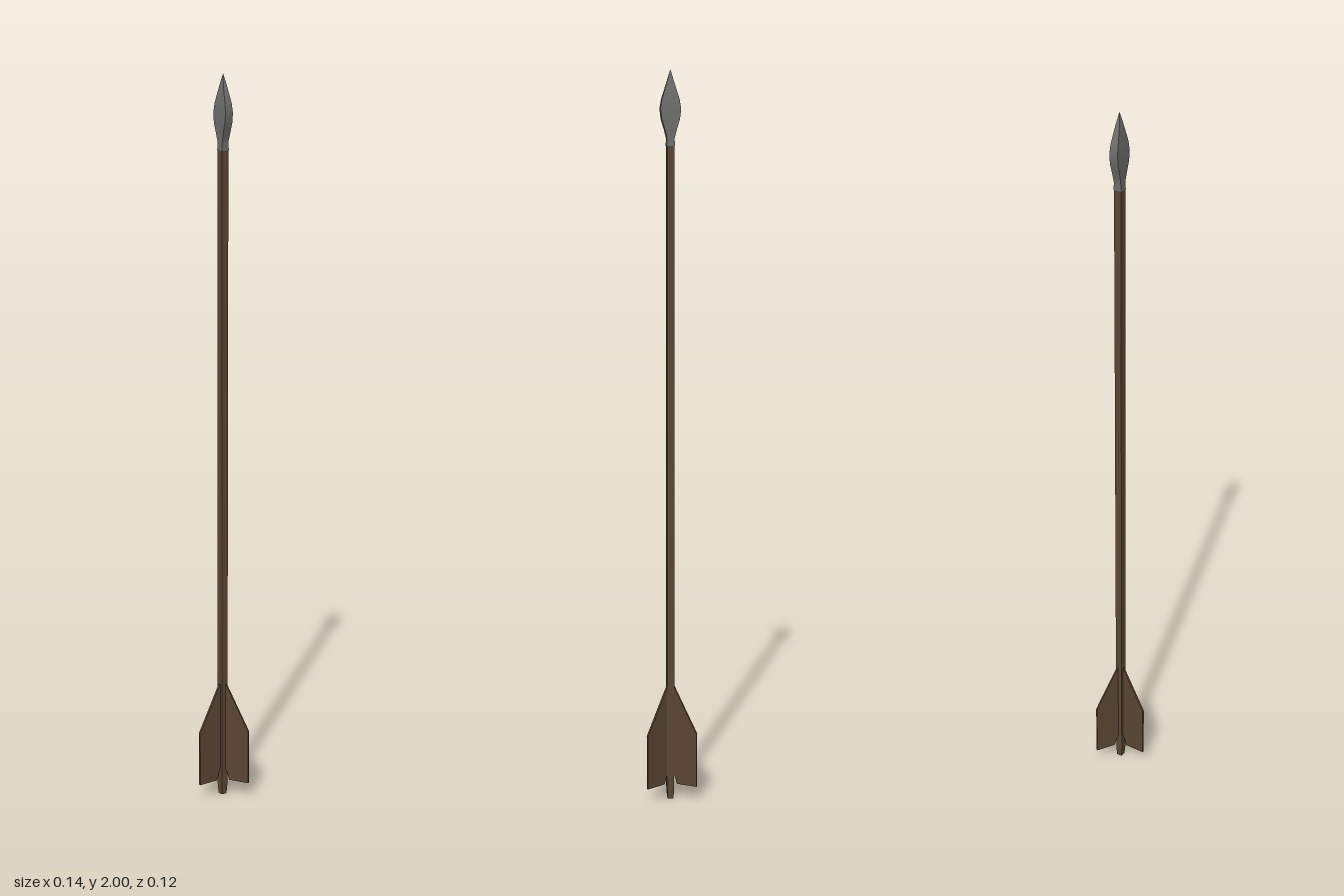
import * as THREE from 'three';

const wood = new THREE.MeshStandardMaterial({ color: 0x5c4835 });
wood.name = 'brown wood';
const feather = new THREE.MeshStandardMaterial({ color: 0x5a4632 });
feather.name = 'brown feather';
const steel = new THREE.MeshStandardMaterial({ color: 0x70706e });
steel.name = 'grey steel';

// Square bar whose rows follow [y, half width, half depth]
function taperedBar(rows) {
  const n = rows.length - 1;
  const geo = new THREE.BoxGeometry(2, n, 2, 1, n, 1);
  const pos = geo.attributes.position;
  for (let i = 0; i < pos.count; i++) {
    const [y, w, d] = rows[Math.round(pos.getY(i) + n / 2)];
    pos.setXYZ(i, pos.getX(i) * w, y, pos.getZ(i) * d);
  }
  geo.computeVertexNormals();
  return geo;
}

function part(name, geo, material, parent) {
  const mesh = new THREE.Mesh(geo, material);
  mesh.name = name;
  parent.add(mesh);
  return mesh;
}

export function createModel() {
  const model = new THREE.Group();
  model.name = 'arrow';
  const axis = new THREE.Group();
  axis.name = 'arrowBody';
  axis.position.z = -0.02;
  model.add(axis);

  // Shaft
  part('shaft', taperedBar([[0, 0.008, 0.008], [0.03, 0.01, 0.01], [1.815, 0.01, 0.01]]), wood, axis);

  // Leaf-shaped head, flat front and back
  part('arrowHead', taperedBar([
    [1.805, 0.011, 0.011], [1.825, 0.01, 0.01], [1.845, 0.015, 0.011],
    [1.875, 0.024, 0.012], [1.9, 0.027, 0.012], [1.925, 0.023, 0.011],
    [1.96, 0.012, 0.007], [1.98, 0.006, 0.004], [2, 0.0003, 0.0003],
  ]), steel, axis);

  // Three fins around the shaft
  const outline = new THREE.Shape([
    [0.004, 0.08], [0.01, 0.08], [0.022, 0.045], [0.08, 0.045],
    [0.08, 0.2], [0.012, 0.33], [0.004, 0.33],
  ].map(([x, y]) => new THREE.Vector2(x, y)));
  const thickness = 0.006;
  const finGeo = new THREE.ExtrudeGeometry(outline, { depth: thickness, bevelEnabled: false });
  finGeo.translate(0, 0, -thickness / 2);
  ['frontFin', 'leftFin', 'rightFin'].forEach((name, i) => {
    part(name, finGeo, feather, axis).rotation.y = -Math.PI / 2 + i * Math.PI * 2 / 3;
  });

  return model;
}
